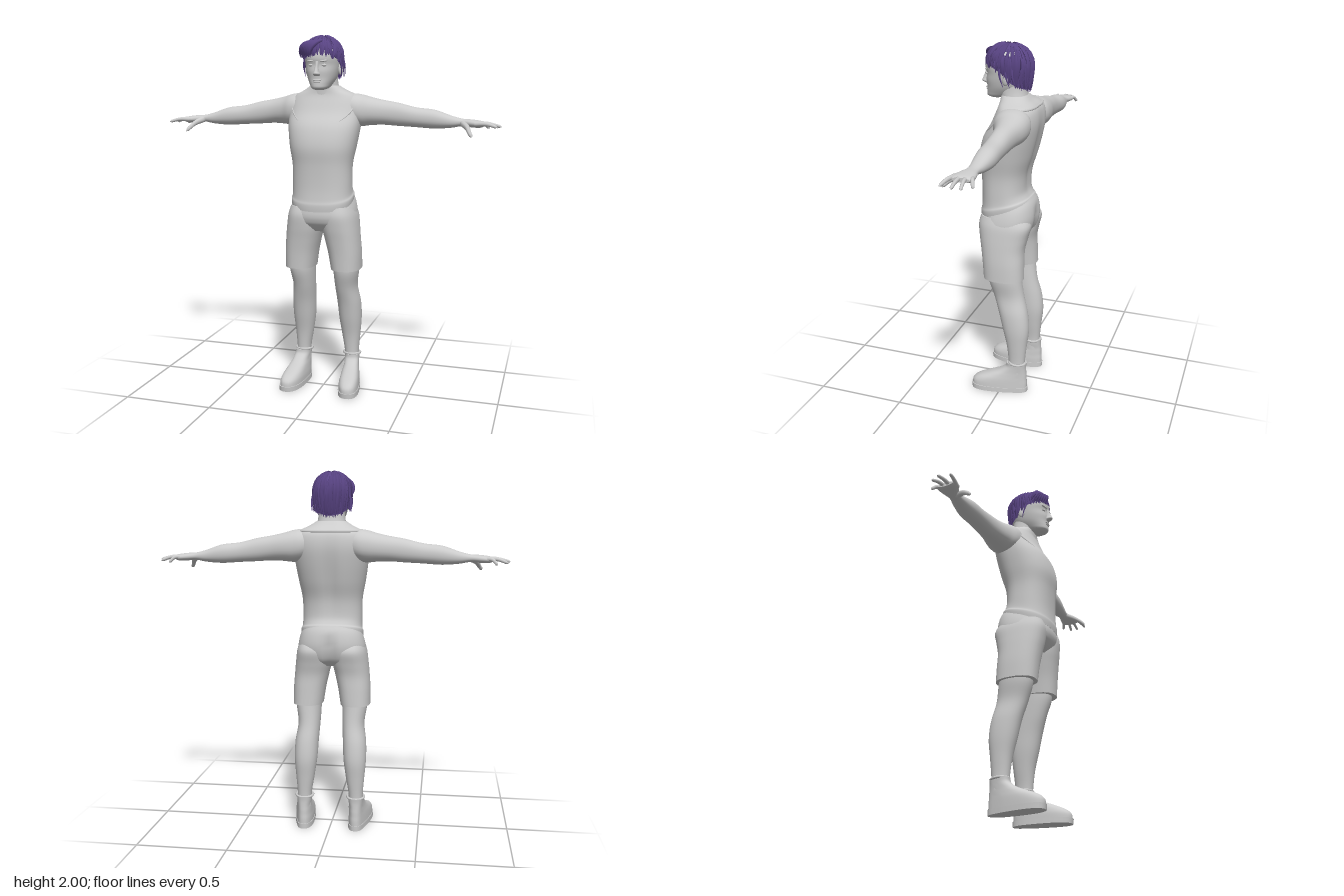
import * as THREE from 'three';

const skin = new THREE.MeshStandardMaterial({ color: 0xcccccc, side: THREE.DoubleSide });
const hairMat = new THREE.MeshStandardMaterial({ color: 0x5a4585, side: THREE.DoubleSide });
const V = (x, y, z) => new THREE.Vector3(x, y, z);
const clamp01 = (v) => Math.min(1, Math.max(0, v));
const sp = (v, n) => Math.sign(v) * Math.abs(v) ** (2 / n);
const catmull = (a, b, c, d, t) =>
  b + 0.5 * t * (c - a + t * (2 * a - 5 * b + 4 * c - d + t * (3 * (b - c) + d - a)));

// Point on a superellipse section [t, pMin, pMax, qMin, qMax]
function ringPoint([t, p0, p1, q0, q1], ang, n, axis) {
  const p = (p0 + p1) / 2 + (p1 - p0) / 2 * sp(Math.cos(ang), n);
  const q = (q0 + q1) / 2 + (q1 - q0) / 2 * sp(Math.sin(ang), n);
  return axis === 'y' ? V(p, t, q) : V(t, q, p);
}

// Smooth capped skin over sections; axis y uses x,z bounds and axis x uses z,y bounds
function loft(secs, { n = 2.2, axis = 'y', rule = null, seg = 32, sub = 5 } = {}) {
  const pos = [], idx = [], rings = [];
  const S = (i) => secs[Math.min(secs.length - 1, Math.max(0, i))];
  for (let i = 0; i < secs.length - 1; i++)
    for (let k = 0; k < sub + (i === secs.length - 2 ? 1 : 0); k++)
      rings.push(secs[i].map((_, c) => catmull(S(i - 1)[c], S(i)[c], S(i + 1)[c], S(i + 2)[c], k / sub)));
  const addRing = (r) => {
    for (let j = 0; j < seg; j++) {
      const v = ringPoint(r, (j / seg) * Math.PI * 2, n, axis);
      if (rule) rule(v);
      pos.push(v.x, v.y, v.z);
    }
  };
  rings.forEach(addRing);
  for (let i = 0; i < rings.length - 1; i++)
    for (let j = 0; j < seg; j++) {
      const a = i * seg + j, b = i * seg + (j + 1) % seg;
      idx.push(a, a + seg, b, b, a + seg, b + seg);
    }
  [rings[0], rings[rings.length - 1]].forEach((r, end) => {
    const base = pos.length / 3;
    addRing(r);
    const c = V((0), 0, 0);
    for (let j = 0; j < seg; j++) c.add(V(...pos.slice((base + j) * 3, (base + j) * 3 + 3)));
    c.divideScalar(seg);
    pos.push(c.x, c.y, c.z);
    for (let j = 0; j < seg; j++) {
      const a = base + j, b = base + (j + 1) % seg;
      idx.push(base + seg, end ? b : a, end ? a : b);
    }
  });
  const g = new THREE.BufferGeometry();
  g.setAttribute('position', new THREE.Float32BufferAttribute(pos, 3));
  g.setIndex(idx);
  g.computeVertexNormals();
  return g;
}

// Tube whose radius follows radius(t)
function taperTube(points, radius, steps = 10, sides = 8) {
  const path = new THREE.CatmullRomCurve3(points);
  const g = new THREE.TubeGeometry(path, steps, 1, sides);
  const p = g.attributes.position;
  for (let i = 0; i < p.count; i++) {
    const t = Math.floor(i / (sides + 1)) / steps, c = path.getPointAt(t);
    const v = V(0, 0, 0).fromBufferAttribute(p, i).sub(c).multiplyScalar(radius(t)).add(c);
    p.setXYZ(i, v.x, v.y, v.z);
  }
  g.computeVertexNormals();
  return g;
}

function blob(x, y, z, rx, ry, rz) {
  return new THREE.SphereGeometry(1, 16, 12).scale(rx, ry, rz).translate(x, y, z);
}

function mirrored(geo) {
  const g = geo.clone().scale(-1, 1, 1), a = g.index.array;
  for (let i = 0; i < a.length; i += 3) [a[i], a[i + 1]] = [a[i + 1], a[i]];
  return g;
}

export function createModel() {
  const model = new THREE.Group();
  const add = (name, geo, mat = skin, parent = model) => {
    const m = new THREE.Mesh(geo, mat);
    m.name = name;
    parent.add(m);
  };
  const pair = (name, geo, mat) => {
    add('left ' + name, geo, mat);
    add('right ' + name, mirrored(geo), mat);
  };
  const sym = (list) => list.map(([y, hw, back, front]) => [y, -hw, hw, back, front]);

  // Shirt: tilted hem and a groove down the spine
  const torso = sym([[1.095, 0.172, -0.135, 0.15], [1.125, 0.174, -0.13, 0.152], [1.145, 0.167, -0.12, 0.147],
    [1.2, 0.165, -0.107, 0.143], [1.3, 0.167, -0.112, 0.147], [1.4, 0.185, -0.142, 0.155], [1.5, 0.2, -0.166, 0.132],
    [1.58, 0.204, -0.178, 0.085], [1.64, 0.195, -0.174, 0.058], [1.675, 0.17, -0.158, 0.045],
    [1.7, 0.12, -0.125, 0.042], [1.725, 0.08, -0.1, 0.042]]);
  const torsoRule = (v) => {
    if (v.z < 0) v.z += 0.016 * Math.exp(-((v.x / 0.035) ** 2)) * Math.exp(-(((v.y - 1.42) / 0.2) ** 2));
    v.y -= 0.33 * v.z * clamp01((1.24 - v.y) / 0.13);
  };
  add('shirt', loft(torso, { n: 2.4, rule: torsoRule, seg: 48 }));

  // Neckline trim running from the chest round the back
  const trim = [];
  for (let i = 0; i <= 40; i++) {
    const a = 1.1 - (i / 40) * (Math.PI + 2.2);
    const y = 1.672 - 0.17 * Math.max(0, Math.sin(a)) ** 1.5;
    const k = torso.findIndex((s) => s[0] > y), A = torso[k - 1], B = torso[k];
    const f = (y - A[0]) / (B[0] - A[0]);
    const v = ringPoint(A.map((s, c) => s + (B[c] - s) * f), a, 2.4, 'y');
    torsoRule(v);
    trim.push(v);
  }
  add('neckline', taperTube(trim, (t) => 0.001 + 0.006 * Math.sin(Math.PI * t) ** 0.5, 80, 6));

  // Shorts: hips and two legs
  add('shorts hips', loft(sym([[0.93, 0.1, -0.09, 0.09], [0.97, 0.185, -0.135, 0.13], [1.02, 0.19, -0.157, 0.146],
    [1.07, 0.182, -0.152, 0.15], [1.12, 0.166, -0.13, 0.146]]), {
    n: 2.4, seg: 48,
    rule: (v) => {
      if (v.z < 0) v.z += 0.02 * Math.exp(-((v.x / 0.025) ** 2)) * clamp01((1.08 - v.y) / 0.05);
      v.y -= 0.33 * v.z * clamp01((v.y - 0.97) / 0.12);
    },
  }));
  pair('shorts leg', loft([[0.71, 0.05, 0.217, -0.122, 0.105], [0.8, 0.036, 0.216, -0.12, 0.113],
    [0.88, 0.018, 0.21, -0.12, 0.124], [0.95, 0.002, 0.203, -0.135, 0.136], [1.02, 0, 0.193, -0.15, 0.143],
    [1.07, 0.02, 0.175, -0.12, 0.13]], { n: 2.4 }));

  // Legs and shoes
  pair('leg', loft([[0.12, 0.107, 0.187, -0.135, -0.045], [0.2, 0.106, 0.186, -0.138, -0.042],
    [0.3, 0.09, 0.194, -0.148, -0.03], [0.4, 0.076, 0.202, -0.158, -0.006], [0.5, 0.07, 0.2, -0.148, 0.018],
    [0.6, 0.064, 0.187, -0.124, 0.05], [0.7, 0.06, 0.2, -0.11, 0.08], [0.8, 0.06, 0.2, -0.1, 0.08]]));
  const toeOut = (v) => {
    const f = clamp01((v.z + 0.1) / 0.25);
    v.x = 0.147 + (v.x - 0.147) * (0.82 + 0.24 * f) + 0.03 * f;
  };
  pair('sole', loft([[0, 0.085, 0.21, -0.155, 0.172], [0.028, 0.085, 0.21, -0.156, 0.175]], { n: 2.5, rule: toeOut }));
  pair('shoe', loft([[0.025, 0.088, 0.207, -0.152, 0.17], [0.055, 0.088, 0.206, -0.152, 0.165],
    [0.08, 0.091, 0.204, -0.15, 0.135], [0.105, 0.095, 0.2, -0.149, 0.075], [0.13, 0.099, 0.197, -0.147, 0.015],
    [0.16, 0.097, 0.197, -0.146, -0.028], [0.185, 0.095, 0.199, -0.148, -0.035]], { n: 2.4, rule: toeOut }));
  pair('shoe cuff', new THREE.TorusGeometry(0.047, 0.007, 8, 28).rotateX(Math.PI / 2)
    .rotateX(-0.08).translate(0.146, 0.185, -0.092));

  // Arms and hands, palms down
  pair('arm', loft([[0.09, -0.14, 0.01, 1.55, 1.665], [0.15, -0.165, 0.03, 1.515, 1.682],
    [0.2, -0.168, 0.025, 1.505, 1.678], [0.25, -0.163, 0.002, 1.51, 1.664], [0.32, -0.15, -0.02, 1.513, 1.648],
    [0.4, -0.142, -0.03, 1.508, 1.634], [0.5, -0.138, -0.032, 1.503, 1.61], [0.6, -0.14, -0.035, 1.497, 1.598],
    [0.69, -0.124, -0.045, 1.503, 1.568], [0.75, -0.112, -0.05, 1.513, 1.553], [0.8, -0.12, -0.028, 1.508, 1.55],
    [0.845, -0.125, -0.012, 1.507, 1.544], [0.865, -0.112, -0.025, 1.514, 1.536]], { axis: 'x' }));
  const fingers = [['index finger', -0.025, 0.94, 0.002, 1.514], ['middle finger', -0.054, 0.958, -0.06, 1.514],
    ['ring finger', -0.082, 0.945, -0.1, 1.508], ['little finger', -0.108, 0.888, -0.136, 1.5]];
  const fingerRadius = (t) => (t > 0.96 ? 0.002 : 0.0125 - 0.005 * t);
  fingers.forEach(([name, z, tx, tz, ty]) => pair(name,
    taperTube([V(0.82, 1.527, z), V((0.83 + tx) / 2, 1.528, (z + tz) / 2), V(tx, ty, tz)], fingerRadius, 14)));
  pair('thumb', taperTube([V(0.755, 1.528, -0.06), V(0.785, 1.508, -0.01), V(0.8, 1.485, 0.025),
    V(0.815, 1.464, 0.045)], (t) => (t > 0.96 ? 0.002 : 0.018 - 0.009 * t), 14));

  // Neck and head
  add('neck', loft(sym([[1.66, 0.095, -0.12, 0.045], [1.71, 0.08, -0.1, 0.045], [1.76, 0.072, -0.09, 0.05],
    [1.83, 0.07, -0.09, 0.05]])));
  add('head', loft(sym([[1.703, 0.022, 0.05, 0.105], [1.714, 0.045, 0, 0.125], [1.735, 0.06, -0.05, 0.127],
    [1.765, 0.075, -0.08, 0.125], [1.8, 0.085, -0.1, 0.128], [1.835, 0.091, -0.11, 0.125],
    [1.87, 0.094, -0.115, 0.132], [1.91, 0.093, -0.11, 0.125], [1.95, 0.078, -0.085, 0.095],
    [1.975, 0.04, -0.04, 0.05]])));
  add('nose', loft([[1.776, -0.014, 0.014, 0.1, 0.138], [1.787, -0.019, 0.019, 0.1, 0.157],
    [1.8, -0.014, 0.014, 0.1, 0.154], [1.825, -0.01, 0.01, 0.1, 0.142], [1.855, -0.012, 0.012, 0.1, 0.133]], { seg: 16 }));
  add('upper lip', blob(0, 1.757, 0.124, 0.025, 0.005, 0.008));
  add('lower lip', blob(0, 1.747, 0.123, 0.021, 0.006, 0.009));
  pair('eye', blob(0.035, 1.834, 0.112, 0.015, 0.008, 0.012));
  pair('eyebrow', blob(0, 0, 0, 0.023, 0.005, 0.008).rotateZ(0.12).rotateY(0.3).translate(0.037, 1.856, 0.121));
  pair('ear', blob(0, 0, 0, 0.01, 0.032, 0.02).rotateY(-0.3).translate(0.095, 1.815, -0.004));

  // Hair: scalp shell swept from crown to a hairline that is high in front and low behind
  const hairPoint = (phi, s, lift = 0, extra = 0) => {
    const f = Math.sin(phi);
    const line = (f > 0 ? 1.835 + 0.058 * f ** 0.7 : 1.835 - 0.08 * (-f) ** 0.6) - extra;
    const y = 1.99 - (1.99 - line) * s ** 1.7;
    const k = y > 1.88 ? Math.sqrt(Math.max(0, 1 - ((y - 1.88) / 0.11) ** 2)) : 1 - 6 * (1.88 - y) ** 2;
    return V(Math.cos(phi) * (0.1 * k + lift), y + lift * (1 - s), 0.004 + f * (0.124 * k + lift));
  };
  const hair = new THREE.Group();
  hair.name = 'hair';
  model.add(hair);
  const cap = new THREE.PlaneGeometry(1, 1, 48, 16), cp = cap.attributes.position;
  for (let i = 0; i < cp.count; i++) {
    const v = hairPoint((cp.getX(i) + 0.5) * Math.PI * 2, 0.5 - cp.getY(i));
    cp.setXYZ(i, v.x, v.y, v.z);
  }
  cap.computeVertexNormals();
  add('scalp hair', cap, hairMat, hair);

  let seed = 7;
  const rnd = () => (seed = (seed * 16807) % 2147483647) / 2147483647;
  for (let i = 0; i < 110; i++) {
    const phi = i * 2.39996, s0 = 0.08 + 0.5 * rnd(), bend = (rnd() - 0.5) * 0.5;
    const extra = 0.02 * rnd() - 0.005, lift = 0.003 * rnd();
    const pts = [0, 1, 2, 3, 4].map((k) =>
      hairPoint(phi + bend * k / 4, s0 + (1 - s0) * k / 4, lift + (k === 4 ? 0.003 : 0), extra));
    const r = 0.007 + 0.005 * rnd();
    add('hair lock', taperTube(pts, (t) => 0.0008 + r * Math.sin(Math.PI * (0.12 + 0.88 * t)) ** 0.7, 9, 5), hairMat, hair);
  }
  // Fringe sweeping to the right, and loose strands by the ears
  for (let i = 0; i < 7; i++) {
    const x = -0.015 - i * 0.012;
    add('fringe lock', taperTube([V(0.02 - i * 0.006, 1.965, 0.095 - i * 0.004), V(x, 1.94, 0.128 - i * 0.006),
      V(x - 0.022, 1.9, 0.132 - i * 0.009), V(x - 0.02, 1.872, 0.125 - i * 0.01)],
    (t) => 0.001 + 0.012 * Math.sin(Math.PI * (0.15 + 0.85 * t)), 9, 6), hairMat, hair);
  }
  for (const side of [-1, 1]) for (let i = 0; i < 3; i++)
    add('side strand', taperTube([V(side * 0.093, 1.88, 0.03 - i * 0.035), V(side * 0.106, 1.83, 0.022 - i * 0.035),
      V(side * 0.102, 1.775, 0.005 - i * 0.035)], (t) => 0.001 + 0.008 * (1 - t), 9, 6), hairMat, hair);
  return model;
}
